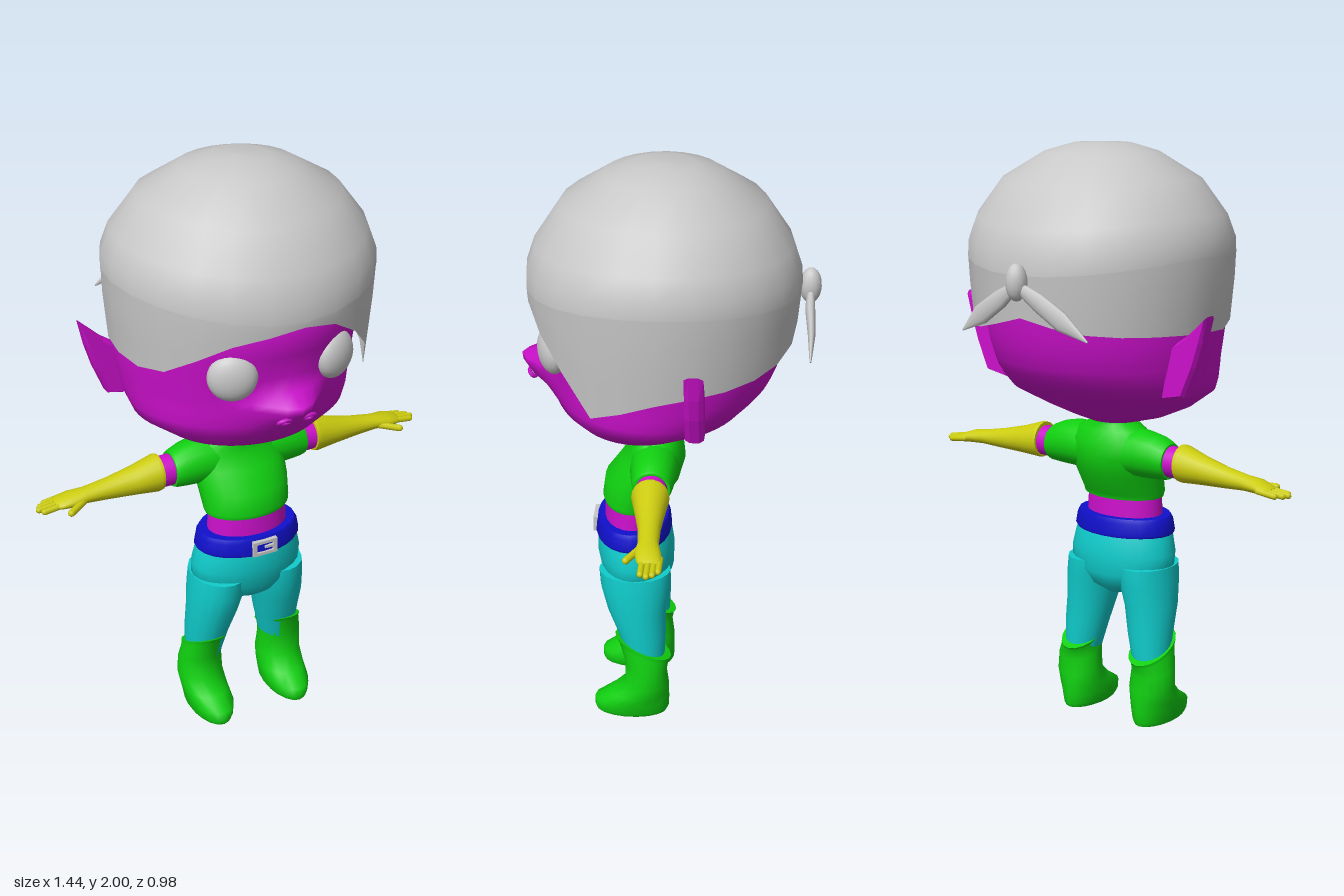
import * as THREE from 'three';
import { mergeVertices } from 'three/addons/utils/BufferGeometryUtils.js';

const mat = (name, color, side = THREE.FrontSide) => {
  const m = new THREE.MeshStandardMaterial({ color, side });
  m.name = name;
  return m;
};

// Closed-round grid of points f(angle, row); angle 0 faces +z and turns towards +x, rows go upwards
function grid(cols, rows, f) {
  const pos = [], idx = [];
  for (let j = 0; j < rows; j++)
    for (let i = 0; i < cols; i++) pos.push(...f((i / cols) * Math.PI * 2, j));
  for (let j = 0; j < rows - 1; j++)
    for (let i = 0; i < cols; i++) {
      const a = j * cols + i, b = j * cols + ((i + 1) % cols);
      idx.push(a, b, b + cols, a, b + cols, a + cols);
    }
  const g = new THREE.BufferGeometry();
  g.setAttribute('position', new THREE.Float32BufferAttribute(pos, 3));
  g.setIndex(idx);
  g.computeVertexNormals();
  return g;
}

// Capped stack of ellipses: [y, centreX, centreZ, radiusX, radiusZ, tilt]
function loft(rows, cols = 18) {
  const first = rows[0], last = rows[rows.length - 1];
  const flat = (r) => [r[0], r[1], r[2], 0, 0];
  const all = [flat(first), first, ...rows, last, flat(last)];
  return grid(cols, all.length, (t, j) => {
    const [y, cx, cz, rx, rz, tilt = 0] = all[j];
    return [cx + rx * Math.sin(t), y + tilt * Math.cos(t), cz + rz * Math.cos(t)];
  });
}

// Same, lying along +x: [x, centreY, centreZ, radiusY, radiusZ]
const limb = (rows) => loft(rows.map(([x, y, z, ry, rz]) => [x, -y, z, ry, rz])).rotateZ(-Math.PI / 2);

function capsule(a, b, r) {
  const p = new THREE.Vector3(...a), q = new THREE.Vector3(...b), d = q.clone().sub(p);
  const turn = new THREE.Quaternion().setFromUnitVectors(new THREE.Vector3(0, 1, 0), d.clone().normalize());
  const c = p.add(q).multiplyScalar(0.5);
  return new THREE.CapsuleGeometry(r, d.length(), 4, 8).applyQuaternion(turn).translate(c.x, c.y, c.z);
}

function mirrored(geo) {
  const g = mergeVertices(geo.clone()).scale(-1, 1, 1), ix = g.index;
  for (let i = 0; i < ix.count; i += 3) {
    const b = ix.getX(i + 1);
    ix.setX(i + 1, ix.getX(i + 2));
    ix.setX(i + 2, b);
  }
  return g;
}

// Linear lookup in [key, value] pairs
function lookup(table, k) {
  let i = 0;
  while (i < table.length - 2 && k > table[i + 1][0]) i++;
  const [a, va] = table[i], [b, vb] = table[i + 1];
  return va + ((vb - va) * (k - a)) / (b - a);
}

export function createModel() {
  const model = new THREE.Group();
  model.name = 'figure';
  const skin = mat('magentaSkin', 0xcc10cc), cloth = mat('greenCloth', 0x10d010);
  const trouser = mat('cyanTrousers', 0x10cccc), glove = mat('yellowGlove', 0xcccc10);
  const leather = mat('blueBelt', 0x1010cc), grey = mat('lightGrey', 0xc8c8c8, THREE.DoubleSide);
  const add = (name, geo, m) => {
    const mesh = new THREE.Mesh(geo, m);
    mesh.name = name;
    model.add(mesh);
  };
  const pair = (name, geo, m) => {
    add(name + 'Left', geo, m);
    add(name + 'Right', mirrored(geo), m);
  };

  // Head: [y, halfWidth, frontZ, backZ, snout]
  const headRows = [
    [1.065, 0, 0.07, 0.07, 0], [1.067, 0.09, 0.15, -0.02, 0], [1.09, 0.18, 0.23, -0.07, 0],
    [1.13, 0.27, 0.31, -0.15, 0], [1.19, 0.36, 0.36, -0.26, 0.015], [1.23, 0.375, 0.372, -0.3, 0.04],
    [1.27, 0.382, 0.38, -0.335, 0.08], [1.3, 0.386, 0.383, -0.35, 0.1], [1.325, 0.39, 0.387, -0.36, 0.1],
    [1.35, 0.394, 0.392, -0.37, 0.025], [1.4, 0.4, 0.4, -0.383, 0], [1.48, 0.404, 0.42, -0.395, 0],
    [1.56, 0.404, 0.438, -0.4, 0], [1.64, 0.39, 0.41, -0.38, 0], [1.7, 0, 0.02, 0.02, 0],
  ];
  add('head', grid(56, headRows.length, (t, j) => {
    const [y, w, zf, zb, snout] = headRows[j], x = w * Math.sin(t), c = Math.cos(t);
    const bump = c > 0 ? snout * Math.exp(-((x / 0.1) ** 2)) : 0;
    return [x, y, (zf + zb) / 2 + ((zf - zb) / 2) * c + bump];
  }), skin);
  pair('nostril', new THREE.TorusGeometry(0.02, 0.007, 6, 14).scale(1.2, 0.8, 1).rotateX(0.75).translate(0.04, 1.272, 0.447), skin);
  pair('eye', new THREE.SphereGeometry(0.08, 18, 14).scale(1, 1, 0.55).rotateY(0.4).translate(0.182, 1.422, 0.362), grey);

  // Pointed ears
  const ear = new THREE.Shape([[0.33, 1.21], [0.4, 1.225], [0.44, 1.32], [0.465, 1.4], [0.485, 1.475], [0.42, 1.41], [0.36, 1.37]]
    .map((p) => new THREE.Vector2(...p)));
  pair('ear', new THREE.ExtrudeGeometry(ear, { depth: 0.03, bevelSize: 0.008, bevelThickness: 0.015, bevelSegments: 1 })
    .translate(0, 0, -0.122), skin);

  // Cap dome, with a fold line that rises at the sides
  const dome = [[0.445, 0], [0.442, 0.06], [0.415, 0.14], [0.33, 0.268], [0.19, 0.361], [0.1, 0.39], [0, 0.395]];
  const fold = (t) => 1.605 + 0.05 * Math.sin(t) ** 2;
  const capPoint = (r, y, t) => [0.02 + r * Math.sin(t), y, 0.013 + r * Math.cos(t)];
  add('capDome', grid(24, dome.length, (t, j) => {
    const [r, h] = dome[j], f = fold(t);
    return capPoint(r, f + (h / 0.395) * (2 - f), t);
  }), grey);

  // Scarf band below the fold, its lower edge dipping at the temples: [degrees, y]
  const edge = [[0, 1.585], [20, 1.56], [45, 1.41], [60, 1.28], [90, 1.36], [105, 1.38], [135, 1.4], [155, 1.42],
    [180, 1.47], [205, 1.43], [225, 1.42], [270, 1.41], [295, 1.4], [315, 1.48], [333, 1.55], [360, 1.585]];
  add('scarfBand', grid(24, 4, (t, j) => {
    const low = lookup(edge, THREE.MathUtils.radToDeg(t));
    const y = low + ((fold(t) - low) * j) / 3;
    return capPoint(0.444 - Math.max(0, 1.6 - y) * 0.09, y, t);
  }), grey);

  // Knot and two tails at the back
  add('scarfKnot', new THREE.SphereGeometry(1, 14, 10).scale(0.035, 0.06, 0.036).translate(0, 1.59, -0.458), grey);
  for (const [name, dx, dy] of [['scarfTailRight', -0.28, -0.15], ['scarfTailLeft', 0.22, -0.16]]) {
    const n = Math.hypot(dx, dy);
    add(name, loft([[0, 0, 0, 0.016, 0.012], [n * 0.3, 0, 0, 0.03, 0.016], [n * 0.65, 0, -0.006, 0.033, 0.012], [n, 0, -0.004, 0.003, 0.003]], 10)
      .rotateZ(Math.atan2(-dx, dy)).translate(0, 1.58, -0.458), grey);
  }

  // Torso
  add('neck', loft([[1.0, 0, 0.05, 0.06, 0.055], [1.1, 0, 0.06, 0.06, 0.055]]), skin);
  add('shirt', loft([[0.795, 0, 0.115, 0.15, 0.106], [0.81, 0, 0.115, 0.154, 0.11], [0.88, 0, 0.088, 0.16, 0.127],
    [0.95, 0, 0.052, 0.166, 0.11], [1.0, 0, 0.04, 0.165, 0.092], [1.04, 0, 0.048, 0.13, 0.083],
    [1.06, 0, 0.055, 0.085, 0.076], [1.08, 0, 0.055, 0.075, 0.08]], 24), cloth);
  add('waist', loft([[0.7, 0, 0.12, 0.145, 0.1], [0.82, 0, 0.12, 0.138, 0.098]], 24), skin);

  // Belt and buckle
  add('belt', loft([[0.665, 0, 0.12, 0.184, 0.129], [0.675, 0, 0.12, 0.191, 0.132], [0.715, 0, 0.12, 0.183, 0.128],
    [0.73, 0, 0.12, 0.174, 0.122]], 24), leather);
  const frame = new THREE.Shape([[-0.045, -0.027], [0.045, -0.027], [0.045, 0.027], [-0.045, 0.027]].map((p) => new THREE.Vector2(...p)));
  frame.holes.push(new THREE.Path([[-0.032, -0.016], [-0.032, 0.016], [0.032, 0.016], [0.032, -0.016]].map((p) => new THREE.Vector2(...p))));
  add('buckle', new THREE.ExtrudeGeometry(frame, { depth: 0.016, bevelEnabled: false }).translate(0, 0.695, 0.242), grey);
  add('bucklePin', new THREE.BoxGeometry(0.04, 0.008, 0.014).translate(0.02, 0.695, 0.25), grey);

  // Trousers
  add('hips', loft([[0.45, 0, 0.105, 0.05, 0.06], [0.48, 0, 0.105, 0.13, 0.1], [0.53, 0, 0.107, 0.198, 0.126],
    [0.6, 0, 0.113, 0.2, 0.133], [0.65, 0, 0.116, 0.188, 0.129], [0.69, 0, 0.12, 0.178, 0.122]], 24), trouser);
  pair('trouserLeg', loft([[0.21, 0.147, 0.072, 0.062, 0.066], [0.32, 0.136, 0.084, 0.078, 0.083], [0.42, 0.125, 0.104, 0.088, 0.103],
    [0.5, 0.114, 0.108, 0.095, 0.121], [0.56, 0.107, 0.11, 0.096, 0.124]]), trouser);

  // Boots with a slanted top
  pair('boot', loft([[0, 0.152, 0.122, 0.062, 0.125], [0.015, 0.152, 0.122, 0.071, 0.132], [0.05, 0.152, 0.12, 0.078, 0.132],
    [0.085, 0.154, 0.092, 0.08, 0.104], [0.13, 0.157, 0.066, 0.081, 0.077, 0.005], [0.2, 0.159, 0.07, 0.077, 0.074, 0.02],
    [0.255, 0.151, 0.078, 0.07, 0.088, 0.04], [0.272, 0.147, 0.08, 0.074, 0.098, 0.045]]), cloth);

  // Sleeves, bare arms, gloves and hands
  pair('sleeve', limb([[0.07, 0.965, 0.042, 0.08, 0.08], [0.14, 0.967, 0.04, 0.082, 0.08], [0.2, 0.962, 0.04, 0.075, 0.072],
    [0.235, 0.956, 0.04, 0.066, 0.066], [0.247, 0.954, 0.04, 0.06, 0.062]]), cloth);
  pair('upperArm', limb([[0.2, 0.955, 0.04, 0.055, 0.054], [0.32, 0.952, 0.04, 0.052, 0.052]]), skin);
  pair('glove', limb([[0.29, 0.956, 0.04, 0.062, 0.061], [0.303, 0.955, 0.04, 0.064, 0.063], [0.38, 0.945, 0.036, 0.049, 0.05],
    [0.47, 0.936, 0.031, 0.036, 0.037], [0.55, 0.931, 0.028, 0.026, 0.034], [0.6, 0.928, 0.026, 0.023, 0.043],
    [0.64, 0.921, 0.018, 0.017, 0.04], [0.655, 0.919, 0.016, 0.01, 0.032]]), glove);
  [[0.68, -0.014], [0.7, 0.003], [0.71, 0.021], [0.698, 0.04]].forEach(([x, z], i) =>
    pair('finger' + (i + 1), capsule([0.62, 0.922, z], [x, 0.914, z + 0.002], 0.0105), glove));
  pair('thumb', capsule([0.56, 0.925, 0.05], [0.625, 0.916, 0.092], 0.012), glove);

  return model;
}
